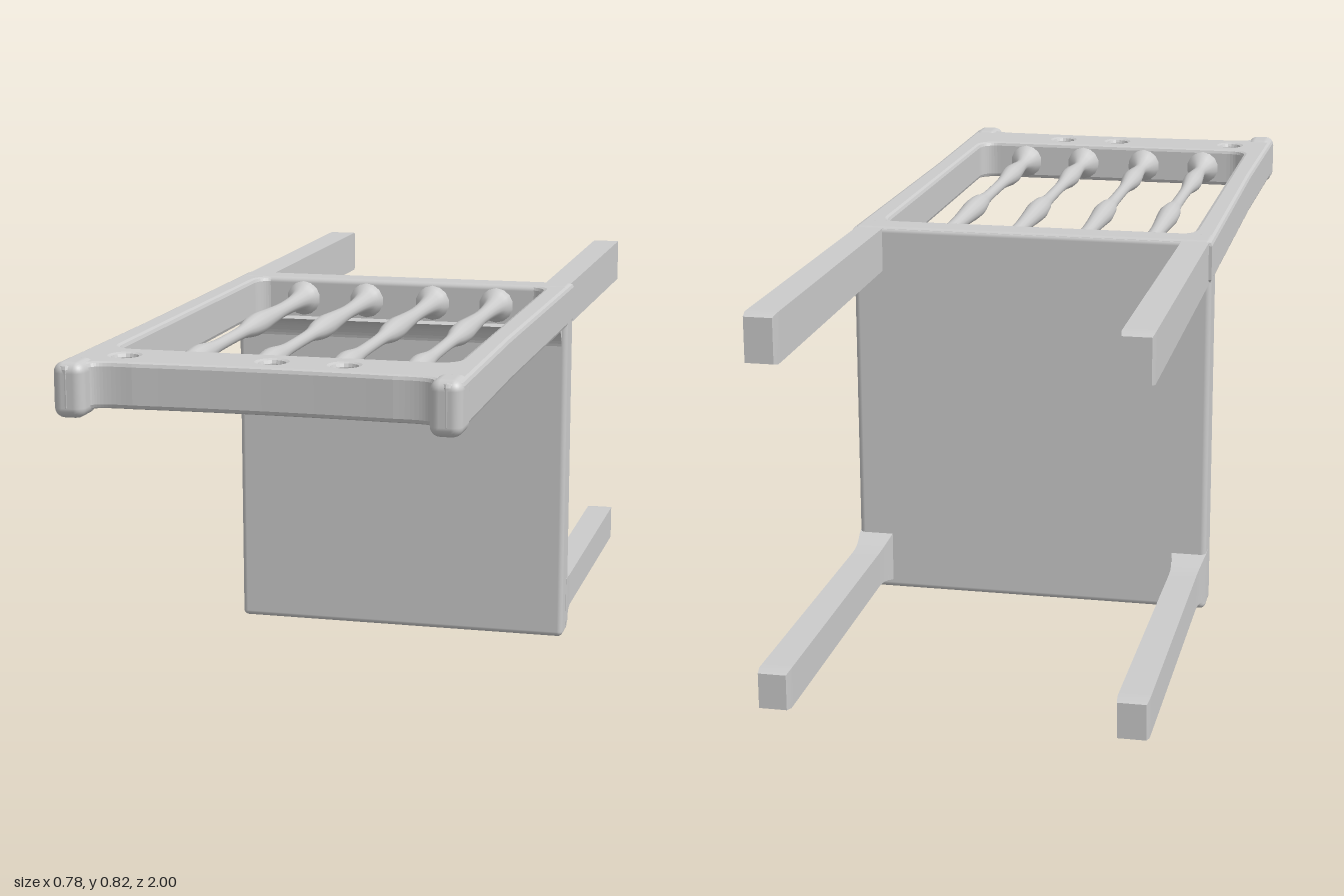
import * as THREE from 'three';
import { RoundedBoxGeometry } from 'three/addons/geometries/RoundedBoxGeometry.js';

const V2 = (x, y) => new THREE.Vector2(x, y);

// Chair lying on its back: the seat is upright, the backrest points to +z, the legs to -z.
export function createModel() {
  const group = new THREE.Group();
  const material = new THREE.MeshStandardMaterial({ color: 0xcccccc });

  const add = (name, geometry, x = 0, y = 0, z = 0) => {
    const mesh = new THREE.Mesh(geometry, material);
    mesh.name = name;
    mesh.position.set(x, y, z);
    group.add(mesh);
    return mesh;
  };

  // Seat panel
  add('seat', new RoundedBoxGeometry(0.775, 0.822, 0.077, 3, 0.012), 0, 0.416, -0.202);

  // Backrest frame: stiles, bottom rail and crest rail with raised ears, drawn in x and z
  const outline = new THREE.Shape();
  outline.moveTo(-0.388, -0.24);
  outline.lineTo(0.388, -0.24);
  outline.lineTo(0.384, 0.5);
  outline.lineTo(0.389, 0.97);
  outline.quadraticCurveTo(0.385, 0.995, 0.36, 0.998);
  outline.quadraticCurveTo(0.34, 0.99, 0.325, 0.955);
  outline.quadraticCurveTo(0.31, 0.94, 0.25, 0.943);
  outline.quadraticCurveTo(0, 0.93, -0.25, 0.943);
  outline.quadraticCurveTo(-0.31, 0.94, -0.325, 0.955);
  outline.quadraticCurveTo(-0.34, 0.99, -0.36, 0.998);
  outline.quadraticCurveTo(-0.385, 0.995, -0.389, 0.97);
  outline.lineTo(-0.384, 0.5);
  outline.closePath();

  // Large opening with rounded corners
  const w = 0.336, z0 = -0.166, z1 = 0.795, r = 0.045;
  const opening = new THREE.Path();
  opening.moveTo(-w + r, z0);
  opening.lineTo(w - r, z0);
  opening.quadraticCurveTo(w, z0, w, z0 + r);
  opening.lineTo(w, z1 - r);
  opening.quadraticCurveTo(w, z1, w - r, z1);
  opening.lineTo(-w + r, z1);
  opening.quadraticCurveTo(-w, z1, -w, z1 - r);
  opening.lineTo(-w, z0 + r);
  opening.quadraticCurveTo(-w, z0, -w + r, z0);
  outline.holes.push(opening);

  // Small holes through the crest rail
  for (const x of [-0.29, 0, 0.14]) {
    const hole = new THREE.Path();
    hole.absellipse(x, 0.868, 0.024, 0.027, 0, Math.PI * 2, true);
    outline.holes.push(hole);
  }
  const bevel = 0.009;
  const frame = new THREE.ExtrudeGeometry(outline, {
    depth: 0.09 - 2 * bevel, bevelSize: bevel, bevelThickness: bevel,
    bevelOffset: -bevel, bevelSegments: 2, curveSegments: 10,
  });
  frame.rotateX(Math.PI / 2);
  add('backrestFrame', frame, 0, 0.826 - bevel, 0);

  // Ear blocks, slightly deeper than the crest rail
  for (const s of [-1, 1]) {
    add('ear', new RoundedBoxGeometry(0.062, 0.106, 0.085, 3, 0.02), s * 0.358, 0.777, 0.955);
  }

  // Turned spindles: flared ends, two swellings and a waist (radius, z)
  const profile = [
    [0.045, -0.18], [0.036, -0.155], [0.024, -0.13], [0.018, -0.07], [0.016, 0.02],
    [0.02, 0.12], [0.024, 0.2], [0.021, 0.26], [0.014, 0.32], [0.013, 0.45],
    [0.015, 0.52], [0.023, 0.6], [0.02, 0.66], [0.015, 0.73], [0.022, 0.76],
    [0.035, 0.785], [0.045, 0.81],
  ].map(([radius, z]) => V2(radius, z));
  const spindle = new THREE.LatheGeometry(new THREE.SplineCurve(profile).getPoints(50), 14);
  spindle.rotateX(Math.PI / 2);
  spindle.scale(1, -1, 1);
  // The mirror above reverses the faces, so it is undone with a half turn of winding
  spindle.scale(1, -1, 1);
  for (const x of [-0.23, -0.08, 0.075, 0.223]) add('spindle', spindle, x, 0.78, 0);

  // Concave fillet where the seat meets the backrest
  const cove = new THREE.Shape();
  cove.moveTo(0, 0);
  cove.lineTo(0, -0.055);
  cove.quadraticCurveTo(0.006, -0.006, 0.045, 0);
  cove.closePath();
  const coveGeometry = new THREE.ExtrudeGeometry(cove, { depth: 0.75, bevelEnabled: false });
  coveGeometry.rotateY(-Math.PI / 2);
  add('seatFillet', coveGeometry, 0.375, 0.738, -0.165);

  // Legs: square bars, flared at the seat and slightly towards the foot
  const makeLeg = (height, flare) => {
    const length = 0.79;
    const leg = new RoundedBoxGeometry(0.062, height, length, 3, 0.01);
    // Rebuilt from a segmented box so that the flare can follow the length
    const bar = new THREE.BoxGeometry(0.062, height, length, 1, 1, 40);
    const p = bar.attributes.position;
    for (let i = 0; i < p.count; i++) {
      const fromSeat = length / 2 - 0.03 - p.getZ(i);
      const toFoot = length / 2 + p.getZ(i);
      const grow = flare * Math.max(0, 1 - fromSeat / 0.09) ** 2;
      const round = toFoot < 0.01 ? 0.9 : 1;
      const taper = 0.94 + 0.06 * Math.min(1, Math.abs(fromSeat) / 0.7);
      p.setX(i, p.getX(i) * taper * round + Math.sign(p.getX(i)) * Math.min(grow, flare) * 0.5);
      p.setY(i, p.getY(i) * taper * round + Math.sign(p.getY(i)) * Math.min(grow, flare));
    }
    bar.computeVertexNormals();
    leg.dispose();
    return bar;
  };
  const backLeg = makeLeg(0.098, 0);
  const frontLeg = makeLeg(0.08, 0.018);
  for (const s of [-1, 1]) {
    add('backLeg', backLeg, s * 0.352, 0.778, -0.605);
    add('frontLeg', frontLeg, s * 0.35, 0.078, -0.605);
  }
  return group;
}
